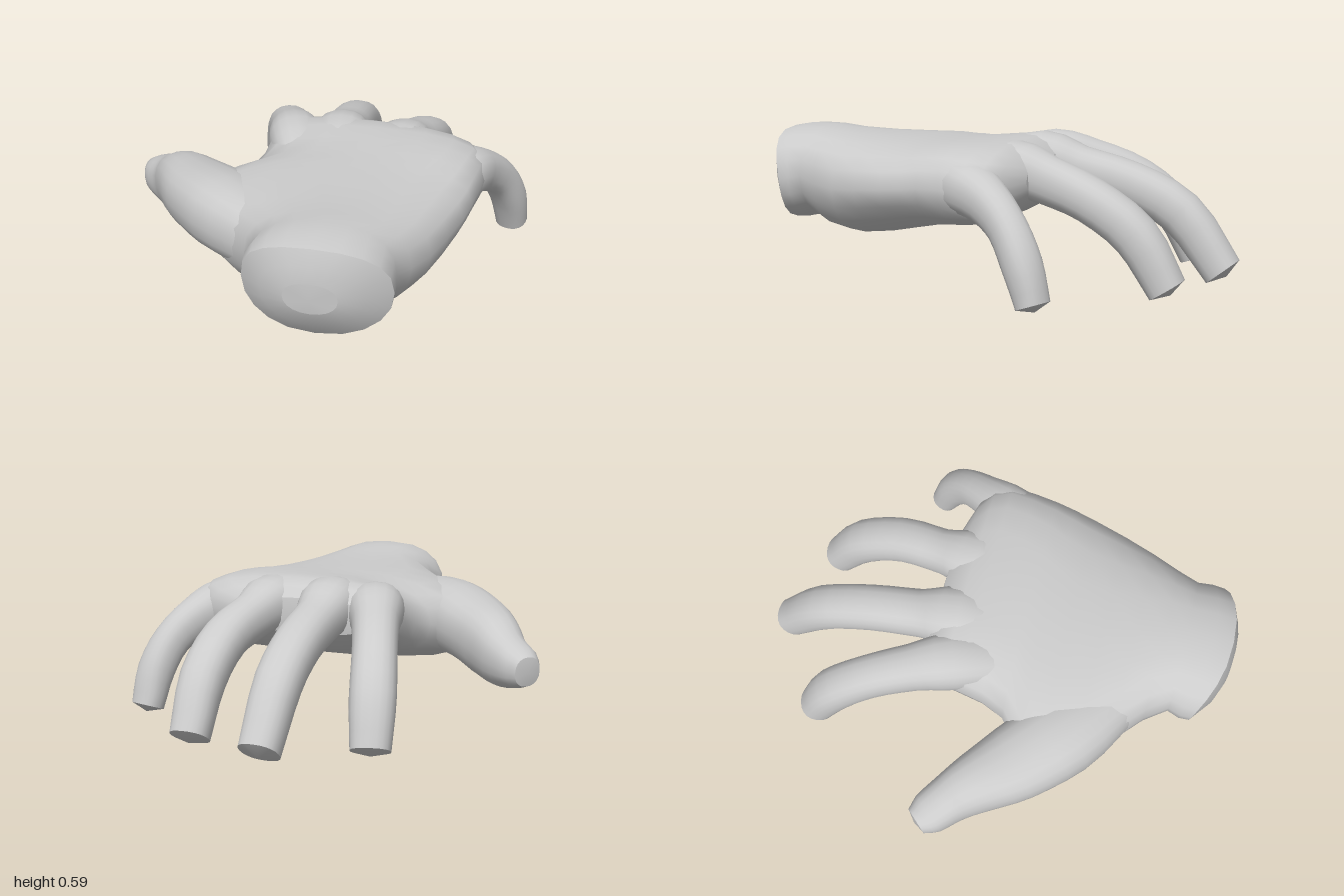
import * as THREE from 'three';

const SIDES = 20;
const skin = new THREE.MeshStandardMaterial({ color: 0xcccccc });

// Skins a list of closed rings; caps keep their own vertices so the rims stay crisp.
function loft(name, rings, startTip, endTip) {
  const pos = [], index = [];
  const n = SIDES;
  const addRing = ring => ring.forEach(p => pos.push(p.x, p.y, p.z));
  rings.forEach(addRing);
  for (let i = 0; i < rings.length - 1; i++) {
    for (let j = 0; j < n; j++) {
      const a = i * n + j, b = i * n + (j + 1) % n;
      index.push(a, a + n, b, b, a + n, b + n);
    }
  }
  const cap = (ring, tip, flip) => {
    const base = pos.length / 3;
    addRing(ring);
    pos.push(tip.x, tip.y, tip.z);
    for (let j = 0; j < n; j++) {
      const a = base + j, b = base + (j + 1) % n;
      index.push(base + n, flip ? b : a, flip ? a : b);
    }
  };
  cap(rings[0], startTip, false);
  cap(rings[rings.length - 1], endTip, true);
  const geo = new THREE.BufferGeometry();
  geo.setAttribute('position', new THREE.Float32BufferAttribute(pos, 3));
  geo.setIndex(index);
  geo.computeVertexNormals();
  const mesh = new THREE.Mesh(geo, skin);
  mesh.name = name;
  return mesh;
}

// Rounded cross-section point: power 2 is an ellipse, higher is boxier.
const rounded = (v, power) => Math.sign(v) * Math.abs(v) ** (2 / power);

// Palm and wrist: [z, left edge, right edge, bottom, top, power, tilt, bow]
function palm() {
  const rim = [0.94, -0.125, 0.46, 0.19, 0.585, 2.3, 0, 1];
  const sections = [
    // domed wrist end, with the rim doubled to keep its edge sharp
    [0.99, 0.06, 0.27, 0.32, 0.45, 2.2, 0, 0.1],
    [0.975, -0.04, 0.37, 0.255, 0.52, 2.2, 0, 0.5],
    rim, rim,
    [0.87, -0.13, 0.46, 0.195, 0.60, 2.3, 0, 0.6],
    [0.78, -0.115, 0.45, 0.215, 0.60, 2.3, 0, 0],
    [0.69, -0.17, 0.49, 0.165, 0.59, 2.3, 0.01, 0],
    [0.57, -0.30, 0.545, 0.14, 0.58, 2.3, 0.02, 0],
    [0.44, -0.43, 0.59, 0.15, 0.575, 2.3, 0.03, 0],
    [0.30, -0.48, 0.63, 0.18, 0.575, 2.3, 0.03, 0],
    [0.20, -0.42, 0.65, 0.205, 0.575, 2.4, 0.03, 0],
    [0.12, -0.32, 0.66, 0.22, 0.58, 2.5, 0.03, 0],
    [0.02, -0.28, 0.67, 0.235, 0.588, 2.7, 0.02, 0],
    [-0.08, -0.27, 0.68, 0.26, 0.592, 2.8, 0, 0],
    [-0.15, -0.265, 0.65, 0.29, 0.588, 2.8, -0.01, 0],
    [-0.205, -0.25, 0.575, 0.33, 0.565, 2.7, -0.01, 0],
    [-0.25, -0.20, 0.43, 0.37, 0.52, 2.4, 0, 0],
  ];
  const rings = sections.map(([z, x0, x1, y0, y1, power, tilt, bow]) =>
    Array.from({ length: SIDES }, (_, j) => {
      const a = j / SIDES * Math.PI * 2, c = Math.cos(a), s = Math.sin(a);
      return new THREE.Vector3(
        (x0 + x1) / 2 + (x1 - x0) / 2 * rounded(c, power),
        (y0 + y1) / 2 + (y1 - y0) / 2 * rounded(s, power) + tilt * c,
        z + bow * (0.03 * s - 0.06 * c * c));
    }));
  return loft('palm', rings, new THREE.Vector3(0.16, 0.38, 0.995), new THREE.Vector3(0.11, 0.445, -0.262));
}

// Digit swept along a bent path: knots are [x, y, z, half width, half height]
function digit(name, knots, tipLength) {
  const curve = new THREE.CatmullRomCurve3(knots.map(k => new THREE.Vector3(k[0], k[1], k[2])));
  const size = new THREE.CatmullRomCurve3(knots.map(k => new THREE.Vector3(k[3], k[4], 0)));
  const steps = (knots.length - 1) * 3;
  const up = new THREE.Vector3(0, 1, 0);
  const rings = [];
  for (let i = 0; i <= steps; i++) {
    const t = i / steps;
    const center = curve.getPoint(t), tangent = curve.getTangent(t), r = size.getPoint(t);
    const side = new THREE.Vector3().crossVectors(tangent, up).normalize();
    const lift = new THREE.Vector3().crossVectors(side, tangent);
    rings.push(Array.from({ length: SIDES }, (_, j) => {
      const a = j / SIDES * Math.PI * 2;
      return center.clone()
        .addScaledVector(side, r.x * rounded(Math.cos(a), 2.3))
        .addScaledVector(lift, r.y * rounded(Math.sin(a), 2.3));
    }));
  }
  const tip = curve.getPoint(1).addScaledVector(curve.getTangent(1), tipLength);
  return loft(name, rings, curve.getPoint(0), tip);
}

export function createModel() {
  const hand = new THREE.Group();
  hand.name = 'hand';
  hand.add(palm());

  // Finger roots start deep in the palm so the knuckles rise gently out of it.
  hand.add(digit('indexFinger', [
    [-0.08, 0.435, 0.08, 0.10, 0.09],
    [-0.16, 0.47, -0.13, 0.12, 0.115],
    [-0.22, 0.44, -0.29, 0.097, 0.10],
    [-0.285, 0.37, -0.47, 0.09, 0.092],
    [-0.335, 0.235, -0.62, 0.092, 0.09],
    [-0.36, 0.045, -0.71, 0.08, 0.077],
  ], 0.02));

  hand.add(digit('middleFinger', [
    [0.05, 0.44, 0.08, 0.10, 0.09],
    [0.03, 0.485, -0.15, 0.13, 0.115],
    [0.02, 0.445, -0.32, 0.10, 0.098],
    [0.01, 0.395, -0.54, 0.096, 0.092],
    [0.0, 0.29, -0.75, 0.094, 0.092],
    [0.0, 0.062, -0.93, 0.082, 0.08],
  ], 0.025));

  hand.add(digit('ringFinger', [
    [0.26, 0.44, 0.08, 0.10, 0.09],
    [0.295, 0.48, -0.14, 0.13, 0.11],
    [0.32, 0.44, -0.30, 0.093, 0.097],
    [0.355, 0.38, -0.49, 0.094, 0.09],
    [0.36, 0.255, -0.68, 0.092, 0.09],
    [0.355, 0.052, -0.81, 0.08, 0.077],
  ], 0.025));

  hand.add(digit('littleFinger', [
    [0.47, 0.42, 0.12, 0.11, 0.10],
    [0.57, 0.435, -0.06, 0.115, 0.105],
    [0.643, 0.39, -0.19, 0.085, 0.09],
    [0.705, 0.31, -0.295, 0.074, 0.078],
    [0.745, 0.19, -0.37, 0.077, 0.075],
    [0.762, 0.042, -0.422, 0.069, 0.062],
  ], 0.025));

  hand.add(digit('thumb', [
    [-0.08, 0.36, 0.58, 0.12, 0.14],
    [-0.32, 0.37, 0.38, 0.175, 0.155],
    [-0.49, 0.35, 0.215, 0.16, 0.14],
    [-0.605, 0.315, 0.08, 0.125, 0.14],
    [-0.68, 0.28, -0.005, 0.102, 0.118],
    [-0.765, 0.265, -0.08, 0.088, 0.088],
    [-0.808, 0.26, -0.12, 0.058, 0.062],
  ], 0.01));

  return hand;
}
